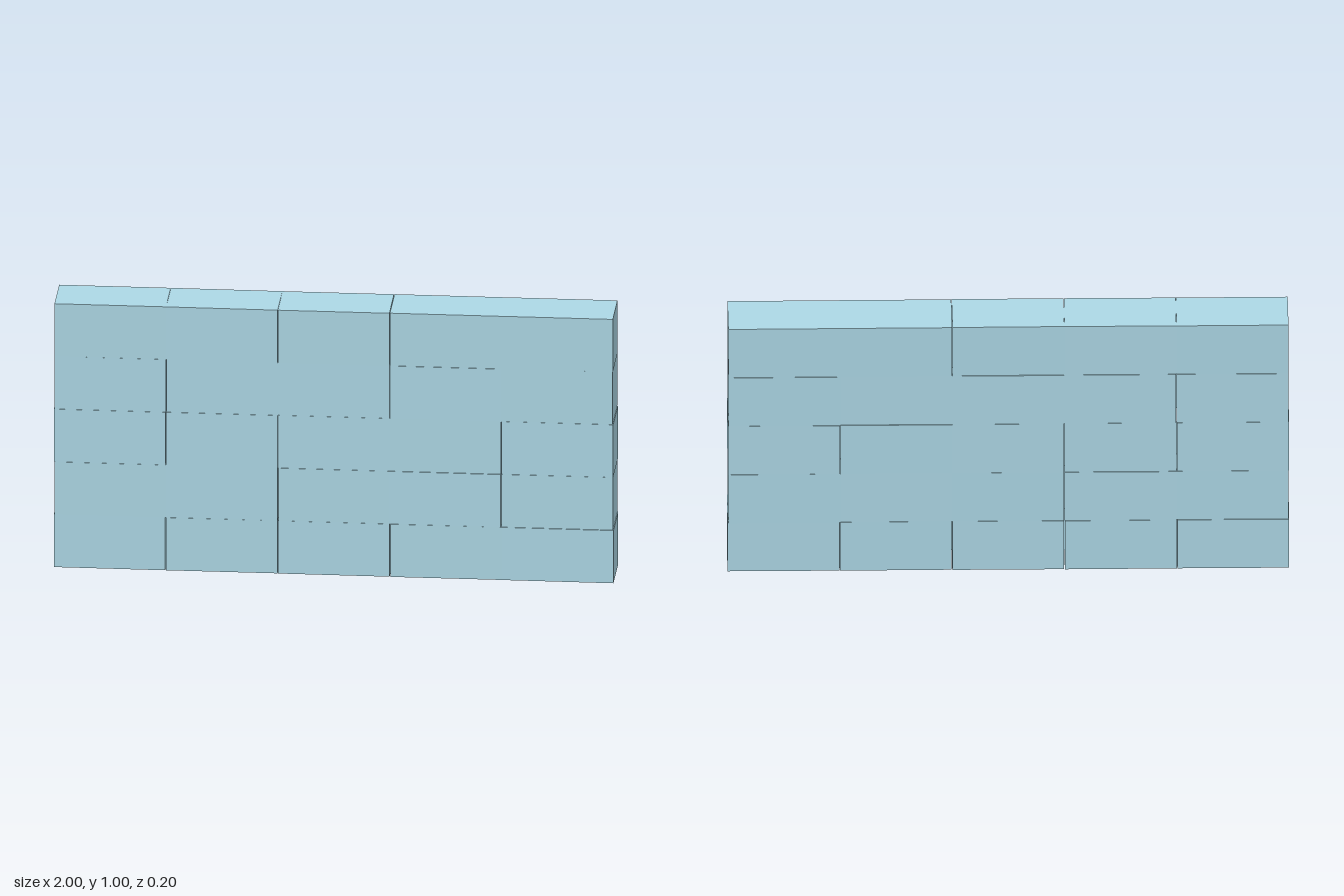
import * as THREE from 'three';

const COLS = 5, ROWS = 5;
const W = 0.4, H = 0.2, D = 0.2;

// Small seeded generator for the slight unevenness of the stacking
function seeded(seed) {
  let s = seed;
  return () => {
    s = (s * 16807) % 2147483647;
    return s / 2147483647 - 0.5;
  };
}

export function createModel() {
  const wall = new THREE.Group();
  wall.name = 'blockWall';

  const material = new THREE.MeshStandardMaterial({ color: 0xadd8e6 });
  const geometry = new THREE.BoxGeometry(W - 0.001, H - 0.0005, D);
  const jitter = seeded(77);

  // Straight-stacked courses of equal blocks, each nudged a hair out of line
  for (let row = 0; row < ROWS; row++) {
    const course = new THREE.Group();
    course.name = `course${row + 1}`;
    for (let col = 0; col < COLS; col++) {
      const block = new THREE.Mesh(geometry, material);
      block.name = `block${row + 1}_${col + 1}`;
      block.position.set(
        (col - (COLS - 1) / 2) * W + jitter() * 0.004,
        (row + 0.5) * H,
        jitter() * 0.004
      );
      block.rotation.y = jitter() * 0.006;
      course.add(block);
    }
    wall.add(course);
  }
  return wall;
}
